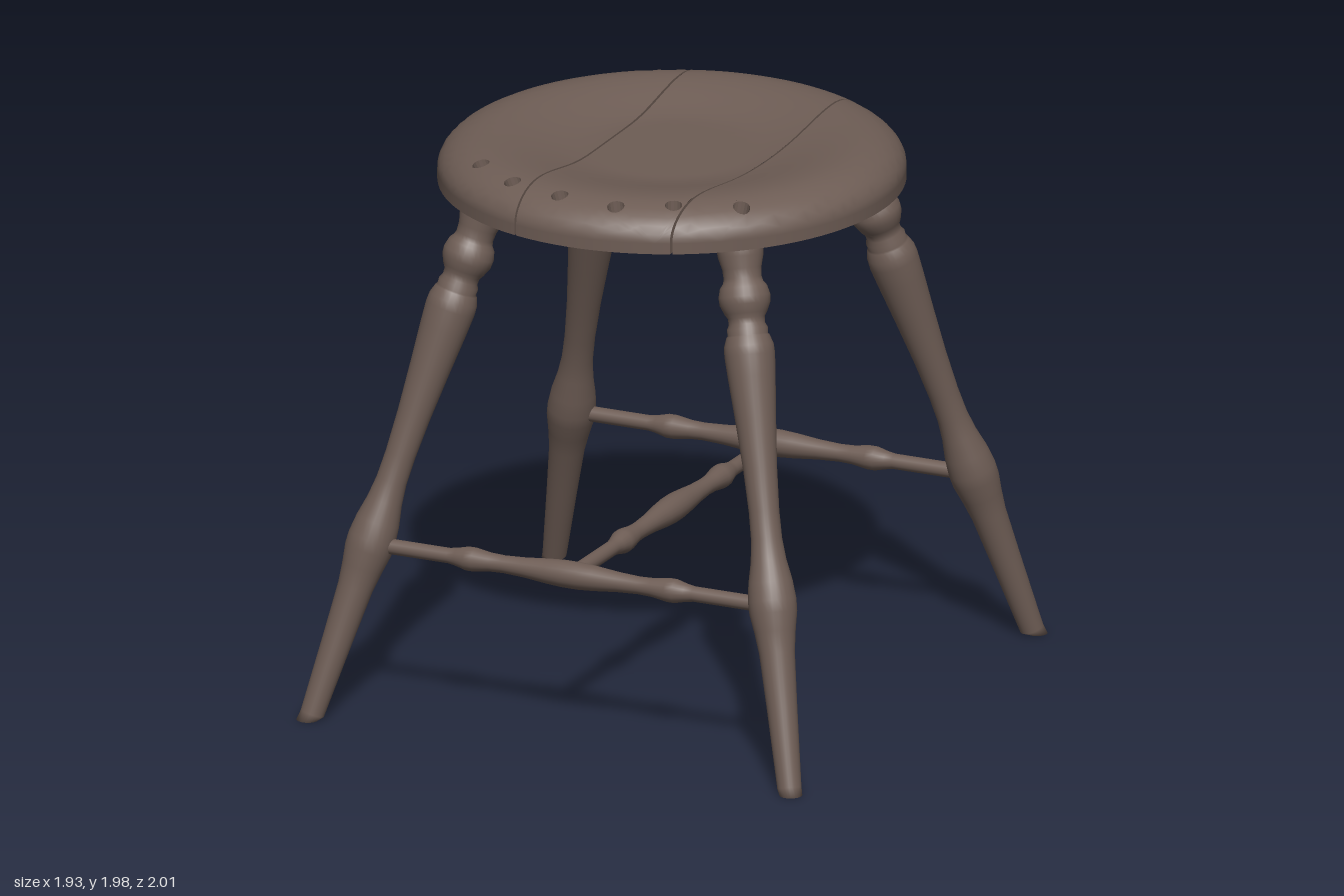
import * as THREE from 'three';

const RIM = 0.81, FLAT = 0.64, EDGE = 0.24, ROLL = RIM - FLAT, TURN = 2 * Math.PI;
const smooth = THREE.MathUtils.smoothstep;

// Seat layout is drawn unrolled: beyond FLAT the radius is measured along the rounded edge
const rollOut = (r) => r < FLAT ? r : FLAT + EDGE * Math.asin(Math.min(1, (r - FLAT) / ROLL)) / (Math.PI / 2);
const rollIn = (s) => s < FLAT ? s : FLAT + ROLL * Math.sin(Math.min(1, (s - FLAT) / EDGE) * Math.PI / 2);
const topHeight = (s) => {
  const a = Math.max(0, Math.min(1, (s - FLAT) / EDGE)) * Math.PI / 2;
  return 1.86 + 0.11 * Math.cos(a) - 0.05 * (1 - smooth(s, 0.28, 0.64));
};
const bottomHeight = (r) => 1.797 + 0.023 * Math.max(0, (r - 0.58) / (RIM - 0.58));
const tilt = (z) => -0.012 * z;

const holes = [[-0.48, 0.52], [-0.3, 0.64], [-0.09, 0.7], [0.13, 0.71], [0.313, 0.63], [0.52, 0.52]];
const HOLE_R = 0.03;

// Flat layout point -> real points on the top and underside
function topPoint(p) {
  const s = p.length(), k = s > 1e-6 ? rollIn(s) / s : 1;
  return new THREE.Vector3(p.x * k, topHeight(s) + tilt(p.y * k), p.y * k);
}
function bottomPoint(p) {
  const q = topPoint(p), r = Math.hypot(q.x, q.z);
  // spindle holes lean inward towards the underside
  let pull = 0;
  for (const [x, z] of holes) {
    const d = Math.hypot(q.x - x, q.z - z);
    pull = Math.max(pull, 1 - Math.max(0, Math.min(1, (d - 0.04) / 0.11)));
  }
  const k = r > 1e-6 ? 1 - 0.07 * pull * (1 - smooth(r, 0.76, RIM)) / r : 1;
  return new THREE.Vector3(q.x * k, bottomHeight(r * k) + tilt(q.z * k), q.z * k);
}
function topNormal(p) {
  const s = p.length(), e = 0.004, a = Math.max(0, s - e), b = Math.min(FLAT + EDGE, s + e);
  const dr = rollIn(b) - rollIn(a), dh = topHeight(b) - topHeight(a);
  const u = s > 1e-6 ? p.clone().divideScalar(s) : new THREE.Vector2();
  return new THREE.Vector3(-dh * u.x, dr, -dh * u.y).normalize();
}
const unroll = (x, z) => {
  const r = Math.hypot(x, z), k = r > 1e-6 ? rollOut(r) / r : 1;
  return new THREE.Vector2(x * k, z * k);
};

// Halve the longest edge until the sheet is fine enough to bend
function split(a, b, c, out) {
  const ab = a.distanceTo(b), bc = b.distanceTo(c), ca = c.distanceTo(a), m = Math.max(ab, bc, ca);
  if (m < 0.07) {
    out.push(a, b, c);
  } else if (m === ab) {
    const mid = a.clone().add(b).multiplyScalar(0.5);
    split(a, mid, c, out);
    split(mid, b, c, out);
  } else if (m === bc) {
    split(b, c, a, out);
  } else {
    split(c, a, b, out);
  }
}

// Board between two joint lines x = base + slope * z (null means the seat rim)
function board(left, right) {
  const ends = ([b, m]) => {
    const A = 1 + m * m, D = Math.sqrt(b * b * m * m - A * (b * b - RIM * RIM));
    return [(-b * m - D) / A, (-b * m + D) / A];
  };
  const angle = (line, k) => {
    const z = ends(line)[k];
    return Math.atan2(z, line[0] + line[1] * z);
  };
  const outline = [];
  const chord = (line, from, to) => {
    for (let i = 0; i < 40; i++) {
      const z = from + (to - from) * (0.5 - 0.5 * Math.cos(Math.PI * i / 40));
      outline.push(unroll(line[0] + line[1] * z, z));
    }
  };
  const arc = (a0, a1) => {
    const n = Math.ceil((a1 - a0) / 0.07);
    for (let i = 0; i < n; i++) {
      const a = a0 + (a1 - a0) * i / n;
      outline.push(new THREE.Vector2(Math.cos(a), Math.sin(a)).multiplyScalar(FLAT + EDGE));
    }
  };
  // counter-clockwise: up the right joint, along the front rim, down the left joint, along the back rim
  if (right) {
    const [z0, z1] = ends(right);
    chord(right, z0, z1);
    arc(angle(right, 1), left ? angle(left, 1) : angle(right, 0) + TURN);
  }
  if (left) {
    const [z0, z1] = ends(left);
    chord(left, z1, z0);
    if (right) arc(angle(left, 0) + TURN, angle(right, 0) + TURN);
    else arc(angle(left, 0), angle(left, 1));
  }

  const inside = holes.filter(([x, z]) =>
    (!left || x > left[0] + left[1] * z) && (!right || x < right[0] + right[1] * z));
  const loops = inside.map(([x, z]) => Array.from({ length: 16 }, (_, i) => {
    const a = -i / 16 * TURN;
    return unroll(x + HOLE_R * Math.cos(a), z + HOLE_R * Math.sin(a));
  }));

  // top and underside
  const pos = [], nor = [];
  const put = (v, n) => { pos.push(v.x, v.y, v.z); nor.push(n.x, n.y, n.z); };
  const all = outline.concat(...loops), tris = [];
  for (const [a, b, c] of THREE.ShapeUtils.triangulateShape(outline, loops)) {
    const area = THREE.ShapeUtils.area([all[a], all[b], all[c]]);
    if (area > 0) split(all[a], all[b], all[c], tris);
    else split(all[a], all[c], all[b], tris);
  }
  const down = new THREE.Vector3(0, -1, 0);
  for (let i = 0; i < tris.length; i += 3) {
    for (const j of [0, 2, 1]) put(topPoint(tris[i + j]), topNormal(tris[i + j]));
    for (const j of [0, 1, 2]) put(bottomPoint(tris[i + j]), down);
  }
  // walls of the rim, joints and holes
  for (const loop of [outline, ...loops]) {
    loop.forEach((p, i) => {
      const q = loop[(i + 1) % loop.length];
      const pt = topPoint(p), qt = topPoint(q), pb = bottomPoint(p), qb = bottomPoint(q);
      const flat = new THREE.Vector3(qt.z - pt.z, 0, pt.x - qt.x).normalize();
      const onRim = Math.min(p.length(), q.length()) > FLAT + EDGE - 0.002;
      const n = (v) => onRim ? new THREE.Vector3(v.x, 0, v.z).normalize() : flat;
      for (const v of [pt, qt, qb, pt, qb, pb]) put(v, n(v));
    });
  }
  const g = new THREE.BufferGeometry();
  g.setAttribute('position', new THREE.Float32BufferAttribute(pos, 3));
  g.setAttribute('normal', new THREE.Float32BufferAttribute(nor, 3));
  return g;
}

// Turned spindle between two points; profile is [radius, fraction along]
function turned(profile, from, to, sides) {
  const dir = to.clone().sub(from), len = dir.length();
  const g = new THREE.LatheGeometry(profile.map(([r, t]) => new THREE.Vector2(r, t * len)), sides);
  g.applyQuaternion(new THREE.Quaternion().setFromUnitVectors(new THREE.Vector3(0, 1, 0), dir.normalize()));
  return g.translate(from.x, from.y, from.z);
}

export function createModel() {
  const model = new THREE.Group();
  const wood = new THREE.MeshStandardMaterial({ color: 0x6e5d55 });
  wood.name = 'darkWood';
  const add = (name, geometry) => {
    const mesh = new THREE.Mesh(geometry, wood);
    mesh.name = name;
    model.add(mesh);
  };

  // Seat: three boards with narrow open joints
  const gap = 0.004;
  add('seatBoardRight', board(null, [-0.238 - gap, 0.02]));
  add('seatBoardMiddle', board([-0.238 + gap, 0.02], [0.356 - gap, -0.006]));
  add('seatBoardLeft', board([0.356 + gap, -0.006], null));

  // Legs: [radius, height] with a straight taper, swelling, collar and bulb
  const legShape = [[0, -0.03], [0.04, -0.03], [0.042, 0.02], [0.053, 0.28], [0.062, 0.46], [0.072, 0.53],
    [0.083, 0.59], [0.084, 0.63], [0.077, 0.69], [0.062, 0.76], [0.054, 0.83], [0.053, 0.92], [0.059, 1.06],
    [0.071, 1.22], [0.083, 1.36], [0.088, 1.43], [0.086, 1.46], [0.075, 1.49], [0.07, 1.495], [0.071, 1.515],
    [0.063, 1.53], [0.064, 1.55], [0.074, 1.565], [0.088, 1.595], [0.09, 1.62], [0.082, 1.65], [0.07, 1.665],
    [0.066, 1.68], [0.068, 1.71], [0.079, 1.75], [0.082, 1.78], [0.078, 1.82], [0, 1.82]];
  for (const sx of [1, -1]) for (const sz of [1, -1]) {
    const g = turned(legShape.map(([r, y]) => [r, y / 1.82]),
      new THREE.Vector3(0.92 * sx, 0, 0.96 * sz), new THREE.Vector3(0.48 * sx, 1.82, 0.46 * sz), 28);
    // level the foot on the floor
    const p = g.attributes.position;
    for (let i = 0; i < p.count; i++) p.setY(i, Math.max(0, p.getY(i)));
    add((sz > 0 ? 'front' : 'back') + (sx > 0 ? 'Left' : 'Right') + 'Leg', g);
  }

  // Stretchers: two side to side, one joining their middles
  const half = [[0.027, 0.78], [0.027, 0.47], [0.032, 0.44], [0.042, 0.4], [0.042, 0.37], [0.033, 0.31],
    [0.031, 0.26], [0.035, 0.18], [0.044, 0.09], [0.048, 0.03]];
  const bar = [...half.map(([r, d]) => [r, -d]), ...half.slice().reverse()].map(([r, d]) => [r, (d + 0.78) / 1.56]);
  const at = (x, z) => new THREE.Vector3(x, 0.61, z);
  add('frontStretcher', turned(bar, at(-0.78, 0.79), at(0.78, 0.79), 20));
  add('backStretcher', turned(bar, at(-0.78, -0.79), at(0.78, -0.79), 20));
  add('middleStretcher', turned(bar, at(0, -0.78), at(0, 0.78), 20));
  return model;
}
